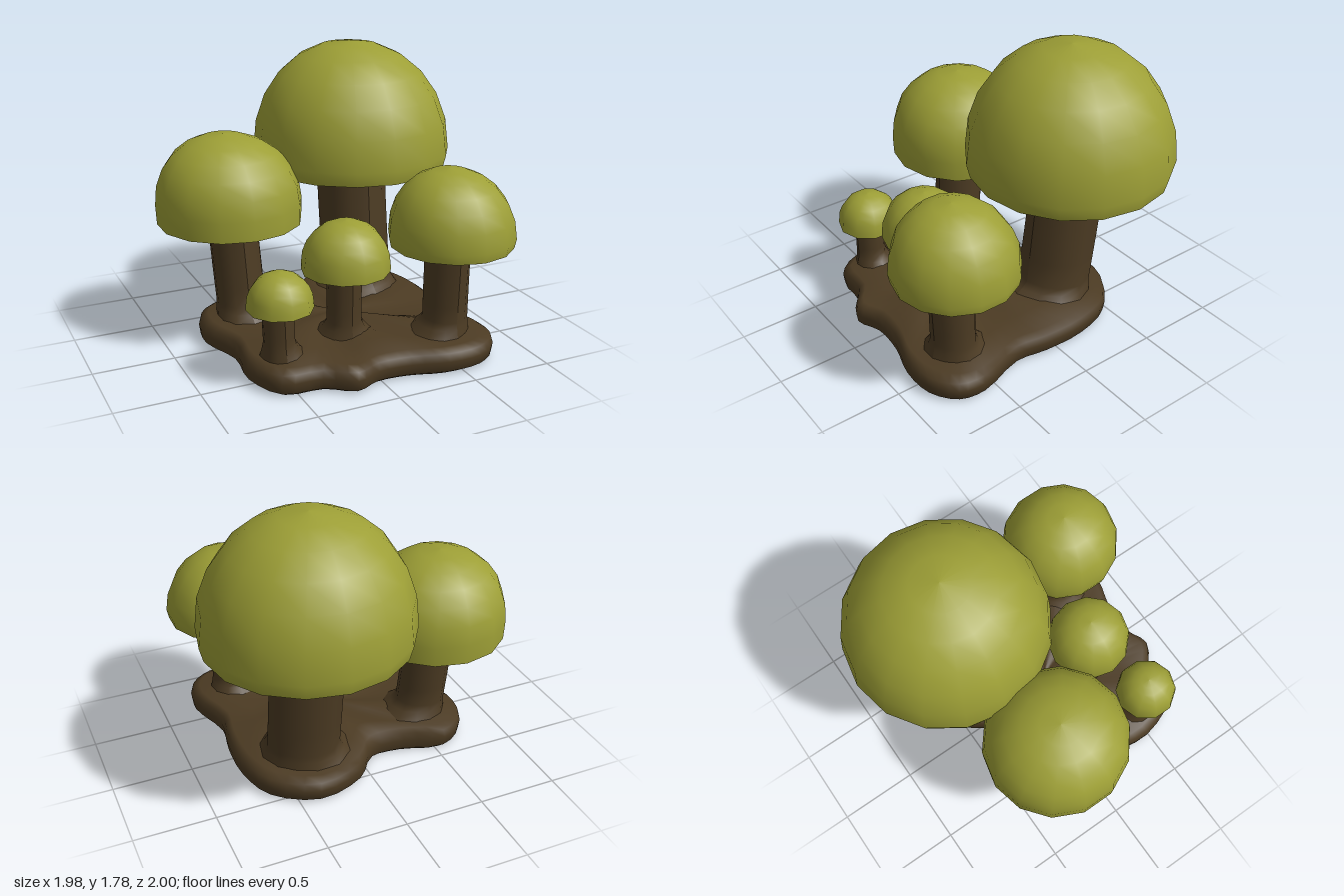
import * as THREE from 'three';

const olive = new THREE.MeshStandardMaterial({ color: 0x9d9f36 });
olive.name = 'olive cap';
const brown = new THREE.MeshStandardMaterial({ color: 0x4c3b23 });
brown.name = 'dark brown wood';

const baseCenter = [0.02, 0.13];

function addMesh(parent, name, geometry, material) {
  const mesh = new THREE.Mesh(geometry, material);
  mesh.name = name;
  parent.add(mesh);
  return mesh;
}

// Rounded dome above a short rim that may tuck in; the crown leans sideways by lean
function capGeometry(radius, height, rim, tuck, sides, lean) {
  const points = [new THREE.Vector2(radius * tuck, 0)];
  const steps = 6;
  for (let i = 0; i <= steps; i++) {
    const a = (i / steps) * Math.PI / 2;
    const r = i === steps ? 0 : Math.pow(Math.cos(a), 2 / 2.08);
    const h = Math.pow(Math.sin(a), 2 / 2.08);
    points.push(new THREE.Vector2(radius * r, height * (rim + (1 - rim) * h)));
  }
  const g = new THREE.LatheGeometry(points, sides);
  const p = g.attributes.position;
  for (let i = 0; i < p.count; i++) {
    p.setX(i, p.getX(i) + lean * Math.pow(p.getY(i) / height, 2));
  }
  return g;
}

// Shallow hollow under the cap
function undersideGeometry(radius, height, tuck, sides) {
  const points = [[0, 0.06], [0.55, 0.055], [0.88, 0.025], [tuck, 0]]
    .map(([r, h]) => new THREE.Vector2(radius * r, height * h));
  return new THREE.LatheGeometry(points, sides);
}

// Leaning, slightly ridged stem whose foot spreads towards the middle of the base
function stemGeometry(foot, top, y1, radius, mound) {
  const y0 = 0.13, moundTop = 0.25;
  const levels = [y0, 0.165, 0.21, moundTop, 0.4, 0.55, 0.7, 0.85, 1];
  const inward = Math.atan2(baseCenter[1] - foot[1], baseCenter[0] - foot[0]);
  const g = new THREE.CylinderGeometry(1, 1, 1, 12, levels.length - 1, true);
  const p = g.attributes.position;
  for (let i = 0; i < p.count; i++) {
    const k = Math.round((p.getY(i) + 0.5) * (levels.length - 1));
    const y = k <= 3 ? levels[k] : moundTop + (y1 - moundTop) * (levels[k] - moundTop) / (1 - moundTop);
    const t = (y - y0) / (y1 - y0);
    const angle = Math.atan2(p.getZ(i), p.getX(i));
    const spread = Math.max(0, (moundTop - y) / (moundTop - y0));
    const ridge = 1 + 0.04 * Math.cos(angle * 3 + t * 2);
    const reach = 0.55 + 0.45 * Math.cos(angle - inward);
    const r = radius * ridge + mound * reach * Math.pow(spread, 1.2);
    p.setXYZ(i,
      THREE.MathUtils.lerp(foot[0], top[0], t) + Math.cos(angle) * r, y,
      THREE.MathUtils.lerp(foot[1], top[1], t) + Math.sin(angle) * r);
  }
  g.computeVertexNormals();
  return g;
}

// Lobed shell: the outline is scaled into rings, from the hollow bottom round to the top
function baseGeometry() {
  const outline = [
    [0.8, 0.6], [0.71, 0.29], [0.74, 0.08], [0.74, -0.2], [0.65, -0.46], [0.38, -0.62],
    [0.08, -0.53], [-0.08, -0.36], [-0.3, -0.36], [-0.56, -0.43], [-0.74, -0.3],
    [-0.78, -0.08], [-0.69, 0.2], [-0.71, 0.48], [-0.6, 0.73], [-0.36, 0.76],
    [-0.19, 0.87], [-0.03, 0.81], [0.18, 0.82], [0.4, 0.88], [0.62, 0.87], [0.77, 0.76],
  ].map(([x, z]) => new THREE.Vector3(x, 0, z));
  const count = 66;
  const loop = new THREE.CatmullRomCurve3(outline, true).getPoints(count).slice(0, count);
  const rings = [[0, 0.11], [0.45, 0.11], [0.75, 0.1], [0.89, 0.06], [0.95, 0.0], [0.99, 0.02],
    [1, 0.08], [0.985, 0.13], [0.93, 0.16], [0.7, 0.175], [0.35, 0.18], [0, 0.18]];
  const positions = [], index = [];
  rings.forEach(([s, y], k) => {
    for (let j = 0; j < count; j++) {
      const bump = s > 0 && s < 0.9 ? 0.015 * Math.sin(j * 0.571 + k * 1.7) : 0;
      positions.push(baseCenter[0] + (loop[j].x - baseCenter[0]) * s, y + bump,
        baseCenter[1] + (loop[j].z - baseCenter[1]) * s);
      if (k === 0) continue;
      const n = (j + 1) % count;
      const a = (k - 1) * count + j, b = (k - 1) * count + n;
      const c = k * count + j, d = k * count + n;
      if (k > 1) index.push(a, b, c);
      if (k < rings.length - 1) index.push(b, d, c);
    }
  });
  const g = new THREE.BufferGeometry();
  g.setAttribute('position', new THREE.Float32BufferAttribute(positions, 3));
  g.setIndex(index);
  g.computeVertexNormals();
  return g;
}

export function createModel() {
  const model = new THREE.Group();
  model.name = 'mushroomCluster';
  addMesh(model, 'base', baseGeometry(), brown);

  // cap: centre x, z, radius, bottom, top, rim share, rim tuck; stem: foot, top, radius, mound
  const mushrooms = [
    { name: 'largeMushroom', cap: [0.355, -0.365, 0.638, 0.99, 1.785, 0.11, 0.965], sides: 16, lean: -0.02,
      foot: [0.36, -0.27], top: [0.36, -0.37], radius: 0.225, mound: 0.17 },
    { name: 'backMushroom', cap: [-0.552, -0.2, 0.45, 0.76, 1.31, 0.22, 0.99], sides: 14, lean: -0.03,
      foot: [-0.51, -0.13], top: [-0.54, -0.19], radius: 0.155, mound: 0.14 },
    { name: 'frontMushroom', cap: [0.54, 0.613, 0.38, 0.71, 1.175, 0.12, 0.97], sides: 14, lean: -0.03,
      foot: [0.515, 0.61], top: [0.515, 0.63], radius: 0.135, mound: 0.13 },
    { name: 'middleMushroom', cap: [-0.06, 0.42, 0.265, 0.57, 0.88, 0.12, 1], sides: 12, lean: 0,
      foot: [-0.065, 0.42], top: [-0.065, 0.42], radius: 0.105, mound: 0.16 },
    { name: 'smallMushroom', cap: [-0.53, 0.545, 0.193, 0.46, 0.68, 0.12, 1.01], sides: 10, lean: 0,
      foot: [-0.53, 0.54], top: [-0.54, 0.54], radius: 0.093, mound: 0.1 },
  ];
  for (const m of mushrooms) {
    const [x, z, radius, bottom, top, rim, tuck] = m.cap;
    const height = top - bottom;
    const group = new THREE.Group();
    group.name = m.name;
    addMesh(group, 'cap', capGeometry(radius, height, rim, tuck, m.sides, m.lean), olive)
      .position.set(x, bottom, z);
    addMesh(group, 'capUnderside', undersideGeometry(radius, height, tuck, m.sides), brown)
      .position.set(x, bottom, z);
    addMesh(group, 'stem', stemGeometry(m.foot, m.top, bottom + height * 0.08, m.radius, m.mound), brown);
    model.add(group);
  }
  return model;
}
